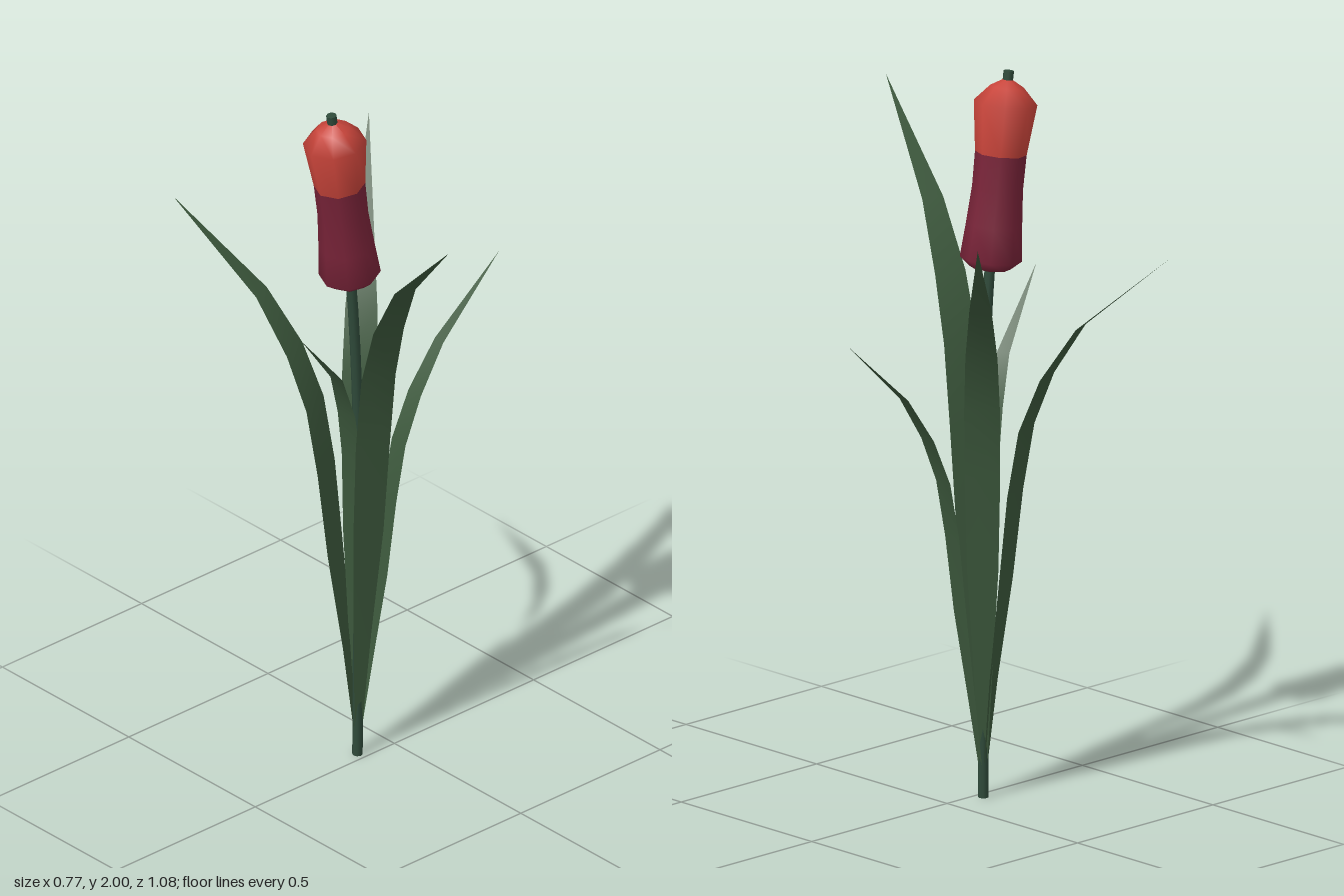
import * as THREE from 'three';

const mat = (name, color) => {
  const m = new THREE.MeshStandardMaterial({ color });
  m.name = name;
  return m;
};

// Shared leaf profile: [height fraction, outward fraction, width fraction]
const LEAF = [
  [0, 0, 0.15], [0.2, 0.055, 0.52], [0.38, 0.12, 0.88], [0.54, 0.17, 1],
  [0.66, 0.23, 1], [0.757, 0.34, 0.9], [0.854, 0.52, 0.62], [1, 1, 0],
];

// Flat arching blade from the plant base to a pointed tip
function leafGeometry(base, tip, width, bend) {
  const out = new THREE.Vector3(tip.x - base.x, 0, tip.z - base.z);
  const side = new THREE.Vector3(out.z, 0, -out.x).normalize();
  const positions = [], index = [];
  LEAF.forEach(([h, r, w], i) => {
    const c = base.clone().addScaledVector(out, Math.pow(r, bend));
    c.y = 0.02 + (tip.y - 0.02) * h;
    for (const s of [-0.5, 0.5]) {
      const p = c.clone().addScaledVector(side, s * w * width);
      positions.push(p.x, p.y, p.z);
    }
    if (i) {
      const a = 2 * i - 2;
      index.push(a, a + 1, a + 2, a + 1, a + 3, a + 2);
    }
  });
  const g = new THREE.BufferGeometry();
  g.setAttribute('position', new THREE.Float32BufferAttribute(positions, 3));
  g.setIndex(index);
  g.computeVertexNormals();
  return g;
}

export function createModel() {
  const model = new THREE.Group();
  model.name = 'reedPlant';
  const stemMat = mat('stemGreen', 0x2f4a3a);
  const leafMat = mat('leafGreen', 0x3c583c);
  leafMat.side = THREE.DoubleSide;
  const redMat = mat('headRed', 0xc8443a);
  const wineMat = mat('headWine', 0x782338);

  const add = (parent, name, geometry, material) => {
    const m = new THREE.Mesh(geometry, material);
    m.name = name;
    parent.add(m);
    return m;
  };

  // Stem, gently bent toward the top, closed at both ends
  const Z = -0.025;
  const curve = new THREE.CatmullRomCurve3([
    [-0.11, 0], [-0.107, 0.5], [-0.108, 1], [-0.132, 1.45], [-0.172, 1.77], [-0.204, 2],
  ].map(([x, y]) => new THREE.Vector3(x, y, Z)));
  add(model, 'stem', new THREE.TubeGeometry(curve, 16, 0.014, 8), stemMat);
  for (const [name, t, dir] of [['stemBottom', 0, -1], ['stemTop', 1, 1]]) {
    const cap = add(model, name, new THREE.CircleGeometry(0.014, 8), stemMat);
    cap.position.copy(curve.getPointAt(t));
    cap.lookAt(cap.position.clone().addScaledVector(curve.getTangentAt(t), dir));
  }

  // Tilted eight-sided flower head in two colours
  const head = new THREE.Group();
  head.name = 'flowerHead';
  head.position.set(-0.133, 1.455, Z);
  head.rotation.z = 0.128;
  model.add(head);
  const lathe = (pts) => new THREE.LatheGeometry(pts.map(([r, y]) => new THREE.Vector2(r, y)), 8);
  add(head, 'lowerHead', lathe([[0, 0], [0.055, 0.012], [0.083, 0.036], [0.075, 0.13], [0.068, 0.23], [0.069, 0.325]]), wineMat);
  add(head, 'upperHead', lathe([[0.069, 0.325], [0.085, 0.463], [0.045, 0.507], [0, 0.533]]), redMat);

  // Leaves: tip x, y, z, width, bend
  const base = new THREE.Vector3(-0.11, 0, Z);
  [
    [-0.29, 1.85, 0.535, 0.1, 1],
    [-0.305, 1.57, -0.54, 0.1, 1],
    [0.26, 1.675, -0.387, 0.095, 1],
    [-0.385, 1.41, 0.057, 0.06, 1.5],
    [0.385, 1.36, -0.01, 0.056, 0.84],
  ].forEach(([x, y, z, w, b], i) =>
    add(model, `leaf${i + 1}`, leafGeometry(base, new THREE.Vector3(x, y, z), w, b), leafMat));

  return model;
}
